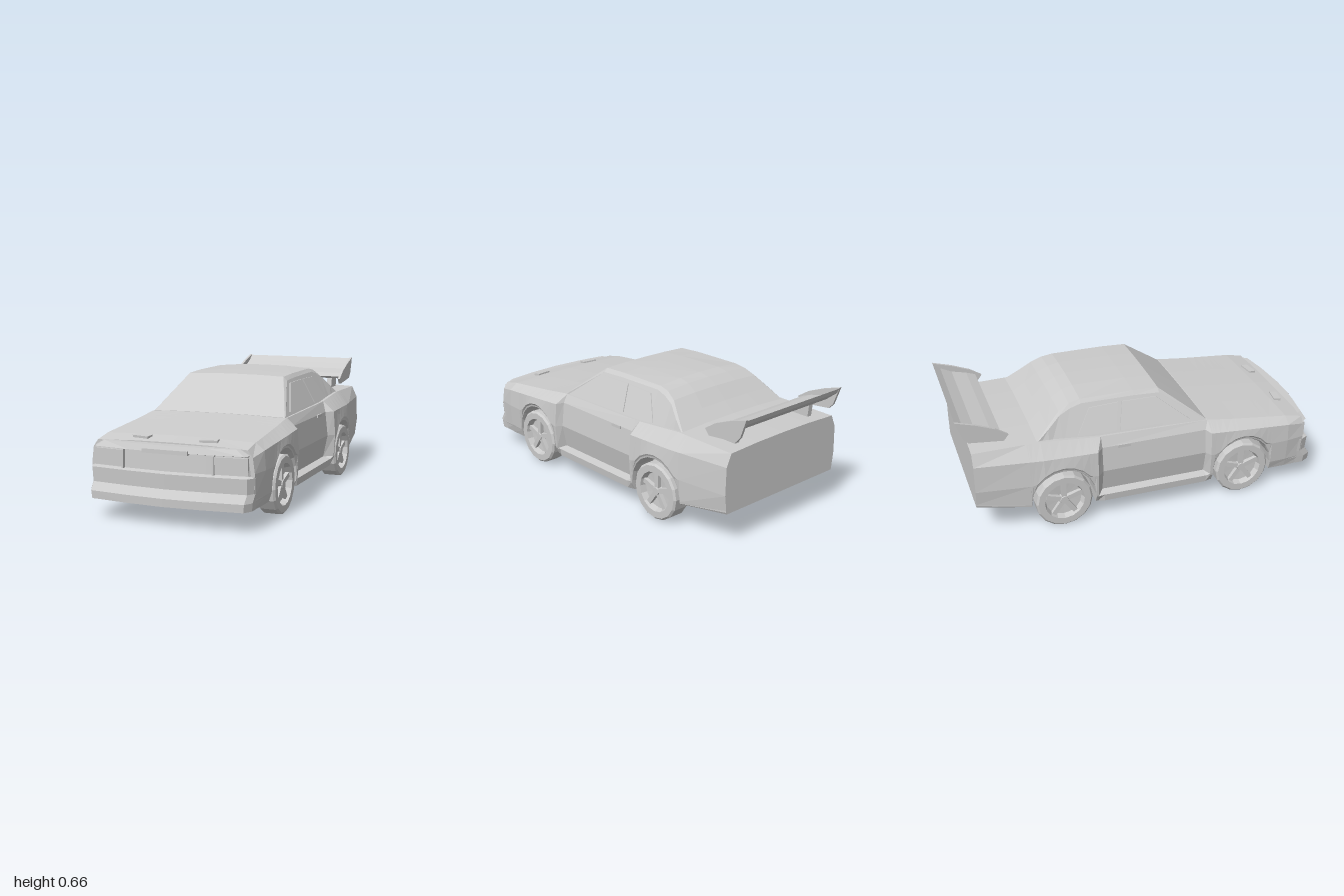
import * as THREE from 'three';

const grey = new THREE.MeshStandardMaterial({ color: 0xcccccc, flatShading: true });
const FRONT_AXLE = 0.53, REAR_AXLE = -0.48, WHEEL_R = 0.153, ARCH_R = 0.173;

function add(parent, name, geometry, x = 0, y = 0, z = 0) {
  const mesh = new THREE.Mesh(geometry, grey);
  mesh.name = name;
  mesh.position.set(x, y, z);
  parent.add(mesh);
  return mesh;
}

// Completes a half outline (x >= 0) into a symmetric ring
function mirrorRing(half) {
  const other = half.filter(p => p[0] > 1e-6).reverse().map(([x, y, z]) => [-x, y, z]);
  return [...half, ...other];
}

// Closed skin over rings of equal length, capped at both ends, facing outwards
function loft(rings) {
  const tris = [];
  const n = rings[0].length;
  for (let i = 0; i < rings.length - 1; i++) {
    for (let j = 0; j < n; j++) {
      const k = (j + 1) % n;
      const [a, b, c, d] = [rings[i][j], rings[i][k], rings[i + 1][k], rings[i + 1][j]];
      tris.push([a, b, c], [a, c, d]);
    }
  }
  for (const end of [0, rings.length - 1]) {
    const r = rings[end];
    const mid = [0, 1, 2].map(k => r.reduce((s, p) => s + p[k], 0) / n);
    for (let j = 0; j < n; j++) {
      const k = (j + 1) % n;
      tris.push(end ? [mid, r[j], r[k]] : [mid, r[k], r[j]]);
    }
  }
  const vec = p => new THREE.Vector3(...p);
  const volume = tris.reduce((s, [a, b, c]) => s + vec(a).dot(vec(b).cross(vec(c))), 0);
  const solid = tris.filter(([a, b, c]) =>
    vec(b).sub(vec(a)).cross(vec(c).sub(vec(a))).length() > 1e-9);
  const points = solid.flatMap(([a, b, c]) => (volume < 0 ? [a, c, b] : [a, b, c]));
  const g = new THREE.BufferGeometry();
  g.setAttribute('position', new THREE.Float32BufferAttribute(points.flat(), 3));
  g.computeVertexNormals();
  return g;
}

// Side-profile polygon given as [z, y], extruded along +x
function sidePanel(points, depth) {
  const shape = new THREE.Shape(points.map(([z, y]) => new THREE.Vector2(-z, y)));
  return new THREE.ExtrudeGeometry(shape, { depth, bevelEnabled: false }).rotateY(Math.PI / 2);
}

// Lower body: z, bottom y, sill x, sill top x, door foot x, waist x,
// shoulder x and y, deck edge x and y, deck centre y
const BODY = [
  [0.90, 0.10, 0.425, 0.43, 0.43, 0.435, 0.425, 0.35, 0.40, 0.385, 0.395],
  [0.80, 0.10, 0.43, 0.44, 0.443, 0.452, 0.445, 0.37, 0.40, 0.405, 0.413],
  [0.50, 0.10, 0.43, 0.45, 0.452, 0.46, 0.453, 0.395, 0.39, 0.435, 0.445],
  [0.34, 0.10, 0.43, 0.45, 0.452, 0.46, 0.45, 0.405, 0.385, 0.455, 0.463],
  [0.32, 0.10, 0.44, 0.445, 0.40, 0.425, 0.41, 0.41, 0.385, 0.455, 0.46],
  [-0.26, 0.10, 0.44, 0.445, 0.40, 0.425, 0.41, 0.41, 0.385, 0.465, 0.47],
  [-0.295, 0.10, 0.43, 0.45, 0.452, 0.46, 0.45, 0.41, 0.385, 0.467, 0.475],
  [-0.58, 0.125, 0.43, 0.45, 0.452, 0.455, 0.445, 0.415, 0.38, 0.49, 0.50],
  [-0.935, 0.175, 0.395, 0.40, 0.40, 0.41, 0.405, 0.42, 0.375, 0.485, 0.495],
];

function bodyAt(z) {
  let i = 0;
  while (i < BODY.length - 2 && z < BODY[i + 1][0]) i++;
  const t = (z - BODY[i][0]) / (BODY[i + 1][0] - BODY[i][0]);
  return BODY[i].map((v, k) => THREE.MathUtils.lerp(v, BODY[i + 1][k], t));
}

function bodyGeometry() {
  // Extra stations follow the round wheel arches
  const stations = BODY.map(r => r[0]);
  for (const axle of [FRONT_AXLE, REAR_AXLE]) {
    for (let k = 0; k <= 10; k++) stations.push(axle + ARCH_R * Math.cos(k * Math.PI / 10));
    stations.push(axle + ARCH_R + 0.001, axle - ARCH_R - 0.001);
  }
  stations.sort((a, b) => b - a);
  return loft(stations.map(z => {
    const [, bot, xSill, xTop, xFoot, xWaist, xSh, ySh, xDeck, yDeck, yMid] = bodyAt(z);
    let low = bot;
    for (const axle of [FRONT_AXLE, REAR_AXLE]) {
      const d = Math.abs(z - axle);
      if (d < ARCH_R + 1e-6) {
        low = Math.max(bot, WHEEL_R + Math.sqrt(Math.max(0, ARCH_R ** 2 - d ** 2)));
      }
    }
    return mirrorRing([
      [0, bot, z], [0.33, bot, z], [0.33, low, z], [xSill, low, z],
      [xTop, Math.max(0.14, low + 0.01), z], [xFoot, Math.max(0.15, low + 0.02), z],
      [xWaist, Math.max(0.275, low + 0.03), z], [xSh, ySh, z], [xDeck, yDeck, z],
      [xDeck * 0.5, yMid - 0.002, z], [0, yMid, z],
    ]);
  }));
}

// Nose: stacked outlines as y, half width, front z
function noseGeometry() {
  const levels = [
    [0.10, 0.428, 0.998], [0.14, 0.432, 1.0], [0.18, 0.435, 0.97], [0.255, 0.437, 0.975],
    [0.262, 0.435, 0.945], [0.352, 0.425, 0.94], [0.358, 0.42, 0.968], [0.388, 0.375, 0.955],
  ];
  return loft(levels.map(([y, w, z]) => mirrorRing([
    [w, y, 0.87], [w, y, z - 0.08], [w - 0.025, y, z - 0.035], [0.2, y, z - 0.012], [0, y, z],
  ])));
}

// Cabin: z, side x, side y, roof edge x, roof edge y, crown y
function cabinGeometry() {
  const rows = [
    [0.335, 0.382, 0.452, 0.375, 0.457, 0.463], [0.09, 0.30, 0.622, 0.28, 0.642, 0.648],
    [-0.05, 0.298, 0.628, 0.28, 0.648, 0.656], [-0.34, 0.298, 0.63, 0.28, 0.648, 0.662],
    [-0.40, 0.305, 0.615, 0.285, 0.636, 0.648], [-0.46, 0.318, 0.59, 0.30, 0.605, 0.615],
    [-0.53, 0.35, 0.535, 0.335, 0.545, 0.552], [-0.60, 0.376, 0.482, 0.37, 0.488, 0.496],
  ];
  return loft(rows.map(([z, xs, ys, xr, yr, yc]) => mirrorRing([
    [0, 0.44, z], [0.383, 0.44, z], [xs, ys, z], [xr, yr, z],
    [xr * 0.5, yr + (yc - yr) * 0.8, z], [0, yc, z],
  ])));
}

function sideWindow(points) {
  const g = sidePanel(points, 0.005);
  const p = g.attributes.position;
  // Lean the glass with the cabin side
  for (let i = 0; i < p.count; i++) p.setX(i, p.getX(i) + 0.381 - (p.getY(i) - 0.452) * 0.47);
  g.computeVertexNormals();
  return g;
}

function createWheel() {
  const wheel = new THREE.Group();
  wheel.name = 'wheel';
  const profile = [[0, -0.052], [0.143, -0.052], [WHEEL_R, -0.04], [WHEEL_R, 0.04], [0.143, 0.05],
    [0.108, 0.05], [0.098, 0.018], [0, 0.012]].map(([r, y]) => new THREE.Vector2(r, y));
  add(wheel, 'tyre', new THREE.LatheGeometry(profile, 16).rotateZ(-Math.PI / 2));
  add(wheel, 'hub', new THREE.CylinderGeometry(0.022, 0.028, 0.03, 8).rotateZ(-Math.PI / 2), 0.028);
  for (let i = 0; i < 5; i++) {
    const spoke = new THREE.BoxGeometry(0.022, 0.09, 0.026).translate(0.026, 0.055, 0);
    add(wheel, 'spoke', spoke.rotateX(i * Math.PI * 2 / 5));
  }
  return wheel;
}

// Everything that appears on both sides, built for +x
function createSide() {
  const side = new THREE.Group();
  side.name = 'sideParts';
  for (const z of [FRONT_AXLE, REAR_AXLE]) {
    const wheel = createWheel();
    wheel.position.set(0.402, WHEEL_R, z);
    side.add(wheel);
  }
  add(side, 'doorWindow', sideWindow([[0.24, 0.475], [0.07, 0.608], [-0.12, 0.61], [-0.15, 0.475]]));
  add(side, 'rearWindow', sideWindow([[-0.17, 0.475], [-0.14, 0.61], [-0.30, 0.605], [-0.38, 0.48]]));
  add(side, 'doorHandle', new THREE.BoxGeometry(0.015, 0.016, 0.07), 0.409, 0.405, -0.14);
  // Headlamp with its inner divider
  const lamp = add(side, 'headlamp', new THREE.BoxGeometry(0.165, 0.082, 0.03), 0.325, 0.307, 0.913);
  lamp.rotation.y = 0.1;
  add(side, 'lampDivider', new THREE.BoxGeometry(0.01, 0.092, 0.04), 0.24, 0.307, 0.927);
  const vent = add(side, 'bonnetVent', new THREE.BoxGeometry(0.09, 0.012, 0.04), 0.18, 0.407, 0.845);
  vent.rotation.set(0.1, 0.15, 0);
  // Wing end plate and pedestal
  const plate = sidePanel([[-0.735, 0.55], [-0.80, 0.592], [-0.90, 0.632], [-1, 0.662],
    [-0.965, 0.565], [-0.94, 0.537], [-0.76, 0.518]], 0.014);
  add(side, 'wingEndPlate', plate, 0.338);
  add(side, 'wingPedestal', sidePanel([[-0.77, 0.48], [-0.79, 0.56], [-0.88, 0.575],
    [-0.87, 0.48]], 0.03), 0.255);
  return side;
}

export function createModel() {
  const car = new THREE.Group();
  car.name = 'car';
  add(car, 'lowerBody', bodyGeometry());
  add(car, 'nose', noseGeometry());
  add(car, 'cabin', cabinGeometry());
  add(car, 'grilleBar', new THREE.BoxGeometry(0.24, 0.02, 0.02), 0, 0.36, 0.958);
  // Curved wing blade between the end plates
  const blade = sidePanel([[-0.77, 0.56], [-0.82, 0.578], [-0.90, 0.598], [-0.96, 0.628],
    [-0.998, 0.657], [-0.985, 0.63], [-0.92, 0.58], [-0.84, 0.556], [-0.78, 0.548]], 0.69);
  add(car, 'wingBlade', blade, -0.345);
  const left = createSide();
  const right = createSide();
  right.scale.x = -1;
  car.add(left, right);
  return car;
}
